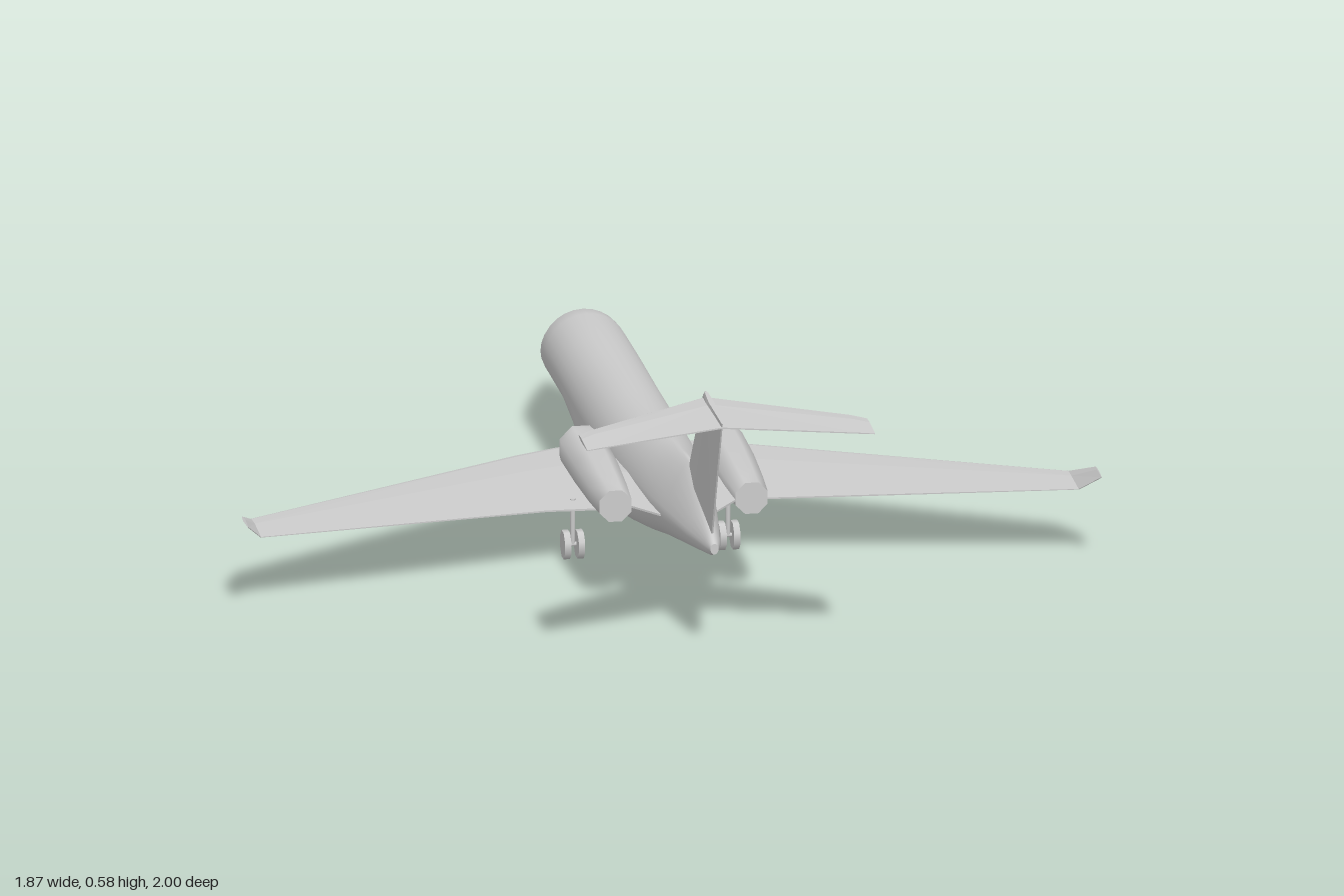
import * as THREE from 'three';

const V = (x, y, z) => new THREE.Vector3(x, y, z);
const material = () => new THREE.MeshStandardMaterial({ color: 0xcccccc });

// Skin a list of equal-length rings and close both ends; faces always point outwards.
function loft(rings, smooth) {
  const n = rings[0].length, pos = [], idx = [];
  rings.forEach(r => r.forEach(p => pos.push(p.x, p.y, p.z)));
  for (let i = 0; i < rings.length - 1; i++)
    for (let j = 0; j < n; j++) {
      const a = i * n + j, b = i * n + (j + 1) % n;
      idx.push(a, b, b + n, a, b + n, a + n);
    }
  // End caps with their own vertices
  [0, rings.length - 1].forEach(i => {
    const base = pos.length / 3;
    rings[i].forEach(p => pos.push(p.x, p.y, p.z));
    for (let j = 1; j < n - 1; j++)
      idx.push(base, ...(i ? [base + j, base + j + 1] : [base + j + 1, base + j]));
  });
  // A negative signed volume means the skin is inside out
  const p = k => V(pos[3 * k], pos[3 * k + 1], pos[3 * k + 2]);
  let volume = 0;
  for (let k = 0; k < idx.length; k += 3) volume += p(idx[k]).dot(p(idx[k + 1]).cross(p(idx[k + 2])));
  if (volume < 0) idx.reverse();
  let g = new THREE.BufferGeometry();
  g.setAttribute('position', new THREE.Float32BufferAttribute(pos, 3));
  g.setIndex(idx);
  if (!smooth) g = g.toNonIndexed();
  g.computeVertexNormals();
  return g;
}

// Thin aerofoil section between a leading and a trailing point
function foil(le, te, normal, t) {
  const n = normal.clone().normalize();
  const at = (f, o) => le.clone().lerp(te, f).addScaledVector(n, o * t);
  return [at(0, 0), at(0.06, 0.6), at(0.35, 1), at(1, 0.2), at(1, -0.2), at(0.35, -1), at(0.06, -0.6)];
}

// Fuselage section: superellipse halves with separate top and bottom roundness
function bodyRing([z, yMid, w, top, bottom, eTop, eBottom], n = 28) {
  const pw = (v, e) => Math.sign(v) * Math.pow(Math.abs(v), 2 / e);
  return Array.from({ length: n }, (_, i) => {
    const a = (i / n) * Math.PI * 2, s = Math.sin(a), c = Math.cos(a);
    const e = s >= 0 ? eTop : eBottom;
    return V(w * pw(c, e), yMid + (s >= 0 ? top - yMid : yMid - bottom) * pw(s, e), z);
  });
}

export function createModel() {
  const model = new THREE.Group();
  const add = (parent, name, geometry) => {
    const mesh = new THREE.Mesh(geometry, material());
    mesh.name = name;
    parent.add(mesh);
    return mesh;
  };
  const group = name => {
    const g = new THREE.Group();
    g.name = name;
    model.add(g);
    return g;
  };

  // Fuselage: z, widest height, half width, top, bottom, top and bottom roundness
  add(model, 'fuselage', loft([
    [-1.0, 0.158, 0.008, 0.167, 0.15, 2, 2],
    [-0.96, 0.158, 0.028, 0.182, 0.141, 2, 2],
    [-0.88, 0.165, 0.06, 0.212, 0.13, 2, 2],
    [-0.8, 0.185, 0.079, 0.253, 0.125, 2, 2],
    [-0.765, 0.198, 0.086, 0.281, 0.124, 2, 2],
    [-0.73, 0.21, 0.091, 0.3, 0.124, 2, 2],
    [-0.68, 0.214, 0.092, 0.305, 0.123, 2, 2],
    [-0.52, 0.215, 0.092, 0.308, 0.12, 2, 2],
    [-0.4, 0.213, 0.092, 0.309, 0.108, 2, 2.5],
    [-0.28, 0.21, 0.092, 0.311, 0.096, 2, 3.6],
    [-0.1, 0.21, 0.092, 0.314, 0.092, 2, 4],
    [0.05, 0.212, 0.092, 0.318, 0.094, 2, 4],
    [0.15, 0.22, 0.088, 0.327, 0.103, 1.9, 3.4],
    [0.3, 0.23, 0.079, 0.341, 0.129, 1.7, 2.5],
    [0.42, 0.238, 0.07, 0.353, 0.155, 1.5, 2],
    [0.525, 0.245, 0.058, 0.365, 0.178, 1.3, 2],
    [0.67, 0.25, 0.036, 0.316, 0.208, 1.4, 2],
    [0.78, 0.254, 0.017, 0.279, 0.231, 2, 2],
    [0.805, 0.253, 0.009, 0.264, 0.24, 2, 2],
  ].map(s => bodyRing(s)), true));

  // Upright fin
  const X = V(1, 0, 0), Y = V(0, 1, 0);
  add(model, 'tailFin', loft([
    foil(V(0, 0.32, 0.53), V(0, 0.25, 0.775), X, 0.009),
    foil(V(0, 0.365, 0.525), V(0, 0.28, 0.78), X, 0.009),
    foil(V(0, 0.567, 0.683), V(0, 0.555, 0.89), X, 0.008),
    foil(V(0, 0.577, 0.70), V(0, 0.565, 0.895), X, 0.006),
  ]));

  for (const s of [1, -1]) {
    const side = s > 0 ? 'left' : 'right';
    const P = (x, y, z) => V(s * x, y, z);

    // Swept wing
    add(model, side + 'Wing', loft([
      foil(P(0.04, 0.124, -0.34), P(0.04, 0.112, 0.085), Y, 0.013),
      foil(P(0.09, 0.128, -0.325), P(0.09, 0.118, 0.095), Y, 0.013),
      foil(P(0.14, 0.134, -0.297), P(0.14, 0.124, 0.106), Y, 0.011),
      foil(P(0.24, 0.141, -0.238), P(0.24, 0.134, 0.13), Y, 0.009),
      foil(P(0.895, 0.167, 0.162), P(0.895, 0.165, 0.285), P(-0.3, 1, 0), 0.004),
    ]));

    // Upturned winglet
    add(model, side + 'Winglet', loft([
      foil(P(0.895, 0.167, 0.162), P(0.895, 0.165, 0.285), P(-0.5, 1, 0), 0.004),
      foil(P(0.934, 0.211, 0.275), P(0.934, 0.209, 0.345), P(-1, 0.8, 0), 0.003),
    ]));

    // Tailplane half on top of the fin
    add(model, side + 'Tailplane', loft([
      foil(P(0, 0.557, 0.685), P(0, 0.555, 0.895), Y, 0.008),
      foil(P(0.285, 0.559, 0.872), P(0.285, 0.557, 0.99), Y, 0.006),
      foil(P(0.315, 0.559, 0.898), P(0.315, 0.557, 1.0), Y, 0.004),
    ]));

    // Engine: lengthwise sections of an eight-sided nacelle
    const engine = group(side + 'Engine');
    const ring = (z, r, y) => Array.from({ length: 8 }, (_, i) => {
      const a = (i + 0.5) * Math.PI / 4, k = r / Math.cos(Math.PI / 8);
      return P(0.149 + k * Math.cos(a), y + k * Math.sin(a), z);
    });
    add(engine, 'nacelle', loft([
      ring(0.04, 0.046, 0.247), ring(0.07, 0.049, 0.247), ring(0.22, 0.047, 0.246),
      ring(0.36, 0.041, 0.243), ring(0.445, 0.035, 0.242),
    ], true));

    // Pylon tying the engine to the body
    add(engine, 'pylon', loft([
      foil(P(0.045, 0.23, 0.1), P(0.045, 0.232, 0.51), Y, 0.011),
      foil(P(0.065, 0.231, 0.1), P(0.065, 0.234, 0.495), Y, 0.011),
      foil(P(0.12, 0.24, 0.1), P(0.12, 0.238, 0.435), Y, 0.011),
    ]));
  }

  // Landing gear: one strut, an axle and a pair of wheels
  const gear = (name, x, z, r, gap, width, top) => {
    const g = group(name);
    g.position.set(x, r, z);
    const strut = add(g, 'strut', new THREE.CylinderGeometry(0.006, 0.005, top - r, 8));
    strut.position.y = (top - r) / 2;
    const axle = add(g, 'axle', new THREE.CylinderGeometry(0.005, 0.005, gap * 2, 8));
    axle.rotation.z = Math.PI / 2;
    for (const s of [1, -1]) {
      const geometry = new THREE.CylinderGeometry(r, r, width, 8).rotateY(Math.PI / 8).rotateZ(Math.PI / 2);
      add(g, 'wheel', geometry.toNonIndexed()).position.x = s * gap;
    }
  };
  gear('leftMainGear', 0.17, 0.057, 0.032, 0.015, 0.014, 0.135);
  gear('rightMainGear', -0.17, 0.057, 0.032, 0.015, 0.014, 0.135);
  gear('noseGear', 0, -0.735, 0.021, 0.009, 0.009, 0.14);

  return model;
}
